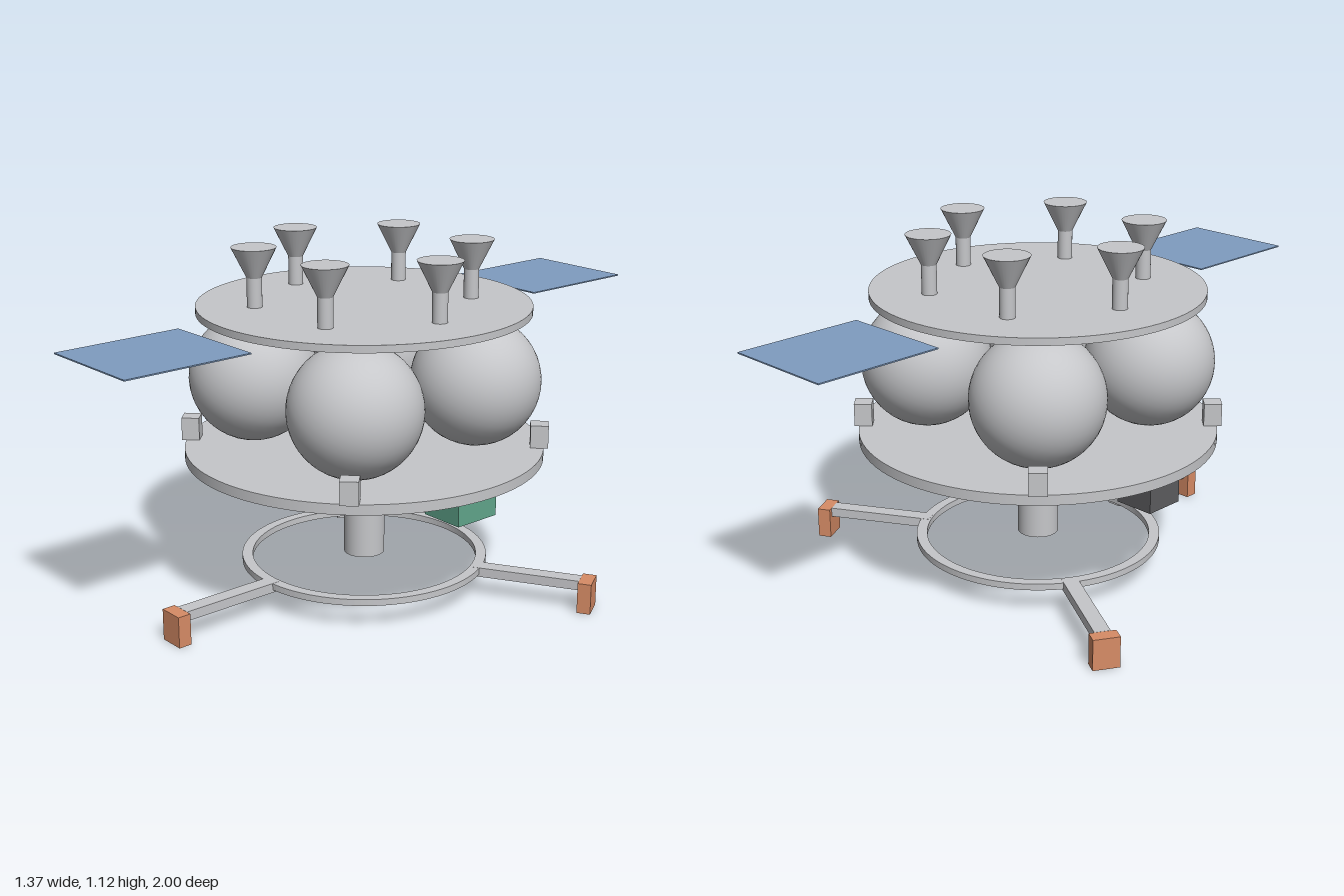
import * as THREE from 'three';

const material = (name, color, extra = {}) => {
  const m = new THREE.MeshStandardMaterial({ color, ...extra });
  m.name = name;
  return m;
};

export function createModel() {
  const grey = material('lightGrey', 0xc6c7ca);
  const gold = material('paleGold', 0xcbbb80);
  const blue = material('panelBlue', 0x7f9cc0);
  const green = material('boxGreen', 0x60a58b);
  const orange = material('footOrange', 0xd78c66);
  const dark = material('darkGrey', 0x5c5c5f);
  const model = new THREE.Group();
  model.name = 'orbitalPlatform';

  const add = (name, geometry, mat, x, y, z, parent = model) => {
    const mesh = new THREE.Mesh(geometry, mat);
    mesh.name = name;
    mesh.position.set(x, y, z);
    parent.add(mesh);
    return mesh;
  };
  // Parts given by their bottom and top heights
  const disc = (name, rTop, rBottom, y0, y1, mat, x = 0, z = 0, sides = 64) =>
    add(name, new THREE.CylinderGeometry(rTop, rBottom, y1 - y0, sides), mat, x, (y0 + y1) / 2, z);
  const box = (name, w, d, y0, y1, mat, x = 0, z = 0, parent = model) =>
    add(name, new THREE.BoxGeometry(w, y1 - y0, d), mat, x, (y0 + y1) / 2, z, parent);

  // Decks and central columns
  disc('lowerDeck', 0.575, 0.575, 0.443, 0.476, grey, 0, 0, 96);
  disc('upperDeck', 0.528, 0.528, 0.914, 0.937, grey, 0, 0, 96);
  disc('lowerColumn', 0.066, 0.066, 0.1, 0.443, grey, 0, 0, 48);
  disc('goldCylinder', 0.084, 0.084, 0.476, 0.852, gold, -0.027, 0, 48);

  // Four tanks, each with a small block at the deck rim
  const tank = new THREE.IcosahedronGeometry(0.208, 7);
  for (const sx of [-1, 1]) {
    for (const sz of [-1, 1]) {
      add('sphericalTank', tank, grey, sx * 0.25, 0.69, sz * 0.25);
      box('rimBlock', 0.057, 0.057, 0.476, 0.55, grey, sx * 0.396, sz * 0.396).rotation.y = Math.PI / 4;
    }
  }

  // Six horns in a ring on the upper deck
  for (let i = 0; i < 6; i++) {
    const a = (i * Math.PI) / 3;
    const x = 0.345 * Math.cos(a), z = 0.345 * Math.sin(a);
    disc('hornStem', 0.024, 0.024, 0.937, 1.03, grey, x, z, 32);
    disc('horn', 0.071, 0.024, 1.03, 1.125, grey, x, z, 32);
  }

  // Solar panels front and back
  for (const s of [-1, 1]) box('solarPanel', 0.367, 0.422, 0.908, 0.912, blue, 0, s * 0.789);

  // Equipment boxes under the lower deck
  box('greenBox', 0.145, 0.157, 0.355, 0.443, green, 0.448, 0);
  box('darkBox', 0.132, 0.132, 0.35, 0.443, dark, -0.475, 0);

  // Landing ring
  const ringShape = new THREE.Shape().absarc(0, 0, 0.4, 0, Math.PI * 2);
  ringShape.holes.push(new THREE.Path().absarc(0, 0, 0.366, 0, Math.PI * 2, true));
  const ring = new THREE.ExtrudeGeometry(ringShape, { depth: 0.021, bevelEnabled: false, curveSegments: 64 });
  add('landingRing', ring.rotateX(-Math.PI / 2), grey, 0, 0.079, 0);

  // Three legs with foot pads
  for (let i = 0; i < 3; i++) {
    const leg = new THREE.Group();
    leg.name = 'landingLeg';
    leg.rotation.y = (i * Math.PI * 2) / 3;
    box('legBar', 0.05, 0.35, 0.07, 0.1005, grey, 0, 0.547, leg);
    box('footPad', 0.084, 0.043, 0, 0.1, orange, 0, 0.7435, leg);
    model.add(leg);
  }
  return model;
}
